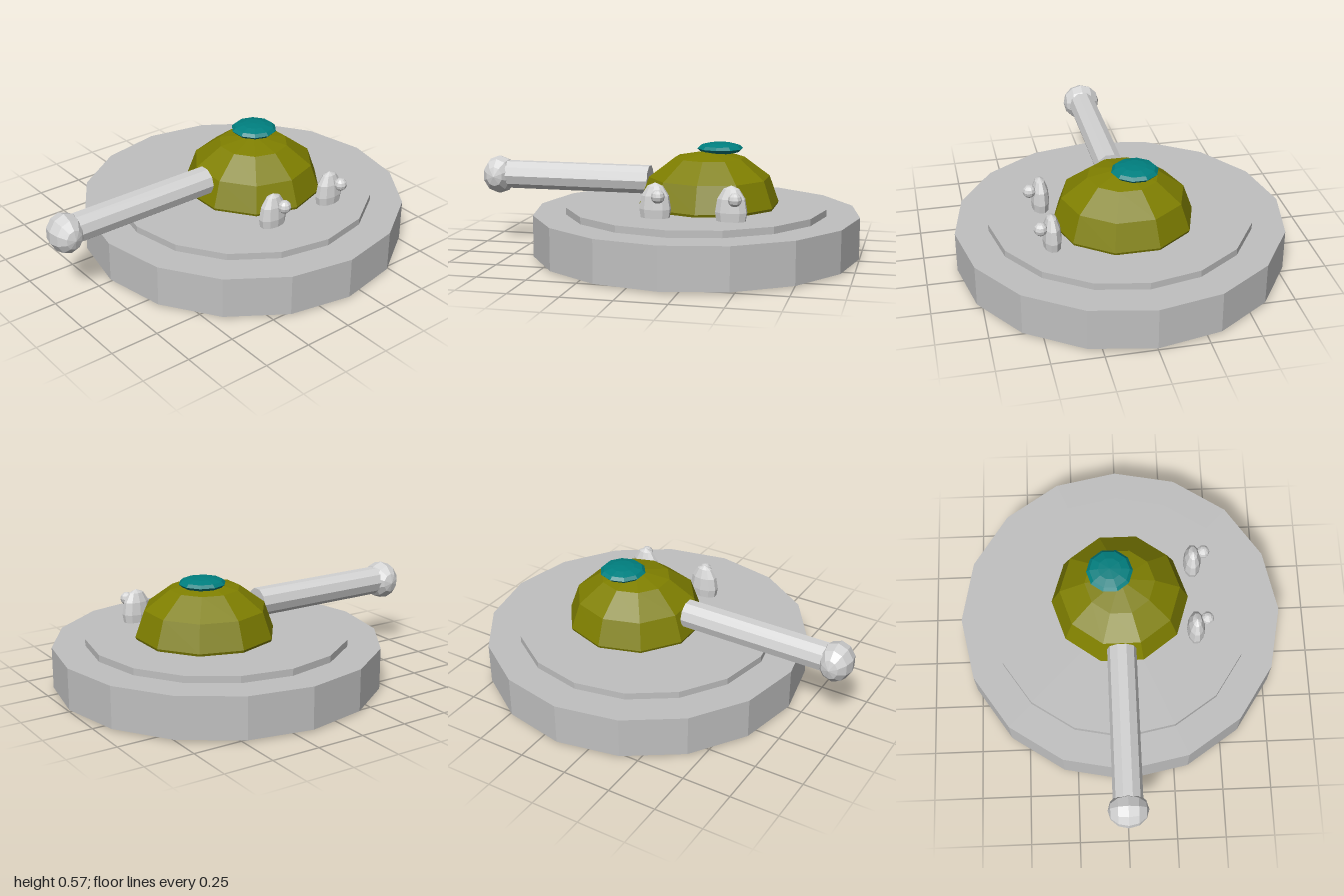
import * as THREE from 'three';

const mat = (name, color) => {
  const m = new THREE.MeshStandardMaterial({ color });
  m.name = name;
  return m;
};

export function createModel() {
  const silver = mat('silver', 0xc0c0c0);
  const paleGrey = mat('paleGrey', 0xd3d3d3);
  const olive = mat('olive', 0x808000);
  const teal = mat('teal', 0x008080);

  const model = new THREE.Group();
  model.name = 'turret';

  // Adds a faceted mesh at a position
  const add = (name, geometry, material, x, y, z) => {
    const faceted = geometry.toNonIndexed();
    faceted.computeVertexNormals();
    const mesh = new THREE.Mesh(faceted, material);
    mesh.name = name;
    mesh.position.set(x, y, z);
    model.add(mesh);
    return mesh;
  };

  // Ten-sided low-poly ellipsoid with corners on the z axis
  const ellipsoid = (rx, ry, rz) =>
    new THREE.SphereGeometry(1, 10, 6).rotateY(Math.PI / 2).scale(rx, ry, rz);

  // Stepped round base
  add('base', new THREE.CylinderGeometry(0.84, 0.84, 0.213, 16), silver, 0.16, 0.1155, 0);
  add('basePlatform', new THREE.CylinderGeometry(0.672, 0.672, 0.05, 16), silver, 0.16, 0.232, 0);

  // Dome reaching down through the base, with a hatch on top
  add('dome', ellipsoid(0.36, 0.27, 0.36), olive, 0.23, 0.27, 0);
  add('hatch', ellipsoid(0.119, 0.03, 0.119), teal, 0.275, 0.545, -0.05);

  // Barrel and its rounded muzzle
  const barrel = new THREE.CylinderGeometry(0.075, 0.075, 0.78, 10).rotateZ(Math.PI / 2);
  add('barrel', barrel, paleGrey, -0.475, 0.375, -0.002);
  const muzzle = ellipsoid(0.088, 0.102, 0.102).rotateX(Math.PI / 2);
  add('muzzle', muzzle, paleGrey, -0.916, 0.371, -0.002);

  // Pair of upright lamps with small knobs in front
  for (const x of [0.04, 0.415]) {
    add('lamp', ellipsoid(0.08, 0.13, 0.047), paleGrey, x, 0.3, 0.39);
    add('lampKnob', ellipsoid(0.034, 0.034, 0.034), paleGrey, x + 0.027, 0.37, 0.447);
  }

  return model;
}
